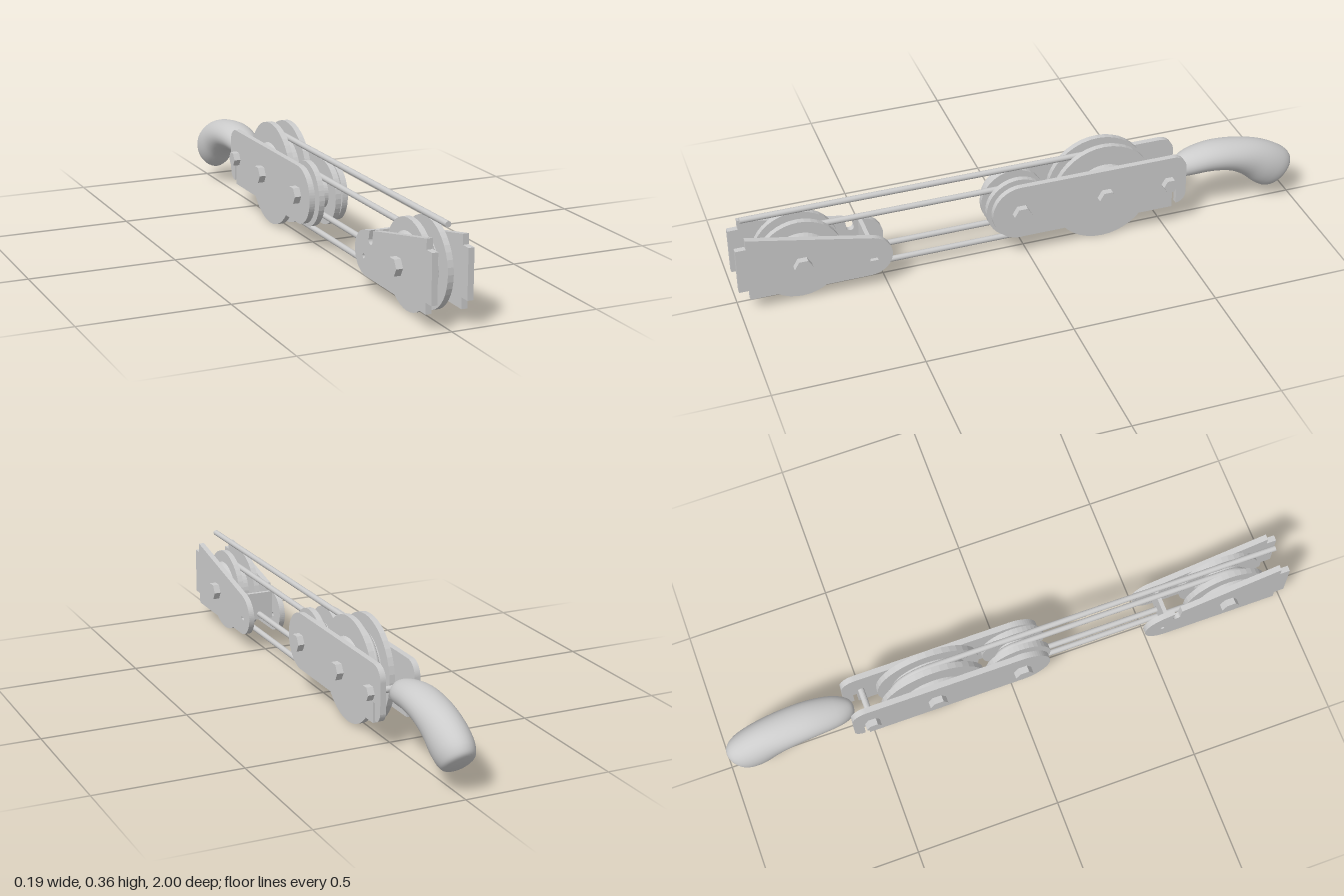
import * as THREE from 'three';

const smooth = new THREE.MeshStandardMaterial({ color: 0xcccccc, side: THREE.DoubleSide });
const flat = new THREE.MeshStandardMaterial({ color: 0xcccccc, flatShading: true });

function add(parent, name, geometry, material = flat) {
  const mesh = new THREE.Mesh(geometry, material);
  mesh.name = name;
  parent.add(mesh);
  return mesh;
}

// Cylinder lying along x
function crossPin(radius, length, sides, x, y, z) {
  return new THREE.CylinderGeometry(radius, radius, length, sides).rotateZ(Math.PI / 2).translate(x, y, z);
}

// Side plate from a (z, y) outline, 0.02 thick, at x = 0.05..0.07 on the given side
function plate(parent, name, shape, side) {
  const g = new THREE.ExtrudeGeometry(shape, { depth: 0.02, bevelEnabled: false, curveSegments: 16 });
  g.rotateY(-Math.PI / 2).translate(side > 0 ? 0.07 : -0.05, 0, 0);
  add(parent, name, g);
}

// Axle bolt with a hexagonal head on both ends
function bolt(parent, y, z, headRadius, shaftRadius) {
  const g = new THREE.Group();
  g.name = 'axleBolt';
  add(g, 'boltShaft', crossPin(shaftRadius, 0.14, 16, 0, y, z));
  for (const s of [-1, 1]) add(g, 'boltHead', crossPin(headRadius, 0.024, 6, s * 0.081, y, z));
  parent.add(g);
}

// Grooved wheel with tapered hub faces
function pulley(parent, name, y, z, radius, ropeRadius, hub) {
  const core = ropeRadius - 0.01;
  const half = [[core, 0.02], [radius, 0.02], [radius, 0.04], [hub + 0.01, 0.04], [hub, 0.05], [0, 0.05]];
  const profile = [...half.map(([r, h]) => [r, -h]).reverse(), ...half];
  const g = new THREE.LatheGeometry(profile.map(([r, h]) => new THREE.Vector2(r, h)), 40);
  add(parent, name, g.rotateZ(Math.PI / 2).translate(0, y, z));
}

// Rope pieces
const ROPE = 0.01;
function ropeRun(parent, y, z0, z1) {
  const g = new THREE.CylinderGeometry(ROPE, ROPE, Math.abs(z1 - z0), 12);
  add(parent, 'ropeRun', g.rotateX(Math.PI / 2).translate(0, y, (z0 + z1) / 2), smooth);
}
function ropeWrap(parent, y, z, radius, direction) {
  const g = new THREE.TorusGeometry(radius, ROPE, 12, 32, Math.PI);
  g.rotateZ(-Math.PI / 2).rotateY(-direction * Math.PI / 2).translate(0, y, z);
  add(parent, 'ropeWrap', g, smooth);
}

function rearPlateShape() {
  const s = new THREE.Shape();
  s.moveTo(-0.52, 0.086);
  s.lineTo(0.03, 0.086);
  s.absarc(0.03, 0.185, 0.1, -Math.PI / 2, Math.PI / 2, false);
  s.lineTo(-0.52, 0.285);
  s.absarc(-0.52, 0.235, 0.05, Math.PI / 2, Math.PI, false);
  s.lineTo(-0.57, 0.13);
  s.quadraticCurveTo(-0.565, 0.1, -0.535, 0.097);
  s.lineTo(-0.535, 0.157);
  s.lineTo(-0.52, 0.157);
  s.closePath();
  return s;
}

function frontPlateShape(side) {
  const s = new THREE.Shape();
  s.moveTo(0.56, 0.053);
  s.lineTo(0.965, 0.053);
  s.lineTo(0.965, 0.09);
  s.lineTo(1, 0.09);
  s.lineTo(1, 0.253);
  s.lineTo(0.965, 0.253);
  s.lineTo(0.965, 0.287);
  if (side < 0) {
    // open rope notch in the upper edge
    s.lineTo(0.61, 0.214);
    s.lineTo(0.605, 0.18);
    s.absarc(0.592, 0.178, 0.014, 0, -Math.PI, true);
    s.lineTo(0.585, 0.209);
  }
  s.lineTo(0.55, 0.202);
  s.bezierCurveTo(0.51, 0.195, 0.48, 0.165, 0.48, 0.128);
  s.bezierCurveTo(0.48, 0.085, 0.515, 0.053, 0.56, 0.053);
  // narrow slot on one side, round hole on the other
  const hole = new THREE.Path();
  if (side > 0) {
    hole.moveTo(0.53, 0.11);
    hole.lineTo(0.53, 0.12);
    hole.lineTo(0.558, 0.12);
    hole.lineTo(0.558, 0.11);
    hole.closePath();
  } else hole.absarc(0.544, 0.115, 0.008, 0, Math.PI * 2, true);
  s.holes.push(hole);
  return s;
}

// Pistol-grip handle lofted through oval sections: top z, top y, bottom z, bottom y, half width
function handleGeometry() {
  const sections = [
    [-0.547, 0.195, -0.547, 0.195, 0], [-0.552, 0.222, -0.552, 0.168, 0.022],
    [-0.57, 0.238, -0.57, 0.16, 0.038], [-0.61, 0.254, -0.605, 0.163, 0.053],
    [-0.69, 0.267, -0.68, 0.166, 0.063], [-0.78, 0.262, -0.755, 0.152, 0.066],
    [-0.87, 0.243, -0.81, 0.12, 0.066], [-0.94, 0.212, -0.855, 0.08, 0.066],
    [-0.985, 0.178, -0.885, 0.06, 0.06], [-0.998, 0.15, -0.905, 0.056, 0.05],
    [-0.985, 0.122, -0.93, 0.068, 0.028], [-0.96, 0.093, -0.96, 0.093, 0],
  ];
  const curve = (f) => new THREE.CatmullRomCurve3(sections.map(f));
  const top = curve((s) => new THREE.Vector3(s[4], s[1], s[0]));
  const bottom = curve((s) => new THREE.Vector3(s[4], s[3], s[2]));
  const rows = 55, cols = 32, pos = [], index = [];
  for (let i = 0; i <= rows; i++) {
    const a = top.getPoint(i / rows), b = bottom.getPoint(i / rows);
    for (let j = 0; j < cols; j++) {
      const t = (j / cols) * Math.PI * 2, k = (1 + Math.cos(t)) / 2;
      pos.push(Math.max(a.x, 0) * Math.sin(t), b.y + (a.y - b.y) * k, b.z + (a.z - b.z) * k);
      if (i < rows) {
        const p = i * cols + j, q = i * cols + ((j + 1) % cols);
        index.push(p, p + cols, q, q, p + cols, q + cols);
      }
    }
  }
  const g = new THREE.BufferGeometry();
  g.setAttribute('position', new THREE.Float32BufferAttribute(pos, 3));
  g.setIndex(index);
  g.computeVertexNormals();
  return g;
}

export function createModel() {
  const model = new THREE.Group();
  model.name = 'ropePuller';
  const group = (name) => {
    const g = new THREE.Group();
    g.name = name;
    model.add(g);
    return g;
  };

  // Rear block: two pulleys between straight plates
  const rear = group('rearBlock');
  for (const s of [-1, 1]) plate(rear, 'rearSidePlate', rearPlateShape(), s);
  pulley(rear, 'largePulley', 0.182, -0.275, 0.181, 0.14, 0.1);
  pulley(rear, 'smallPulley', 0.185, 0.03, 0.112, 0.065, 0.065);
  bolt(rear, 0.183, -0.275, 0.031, 0.016);
  bolt(rear, 0.185, 0.03, 0.031, 0.016);
  bolt(rear, 0.185, -0.505, 0.026, 0.011);

  // Front block: one pulley between tapered plates, tied by a cross plate
  const front = group('frontBlock');
  for (const s of [-1, 1]) plate(front, 'frontSidePlate', frontPlateShape(s), s);
  pulley(front, 'frontPulley', 0.152, 0.785, 0.147, 0.1, 0.095);
  bolt(front, 0.152, 0.785, 0.031, 0.016);
  add(front, 'crossPlate', new THREE.BoxGeometry(0.1, 0.1, 0.014).translate(0, 0.15, 0.557));

  // Rope: free end, large pulley, front pulley, small pulley, cross plate
  const rope = group('rope');
  ropeRun(rope, 0.322, 0.965, -0.275);
  ropeWrap(rope, 0.1865, -0.275, 0.1355, -1);
  ropeRun(rope, 0.051, -0.275, 0.785);
  ropeWrap(rope, 0.15, 0.785, 0.099, 1);
  ropeRun(rope, 0.249, 0.785, 0.03);
  ropeWrap(rope, 0.1845, 0.03, 0.0645, -1);
  ropeRun(rope, 0.12, 0.03, 0.557);

  add(model, 'handle', handleGeometry(), smooth);
  return model;
}
